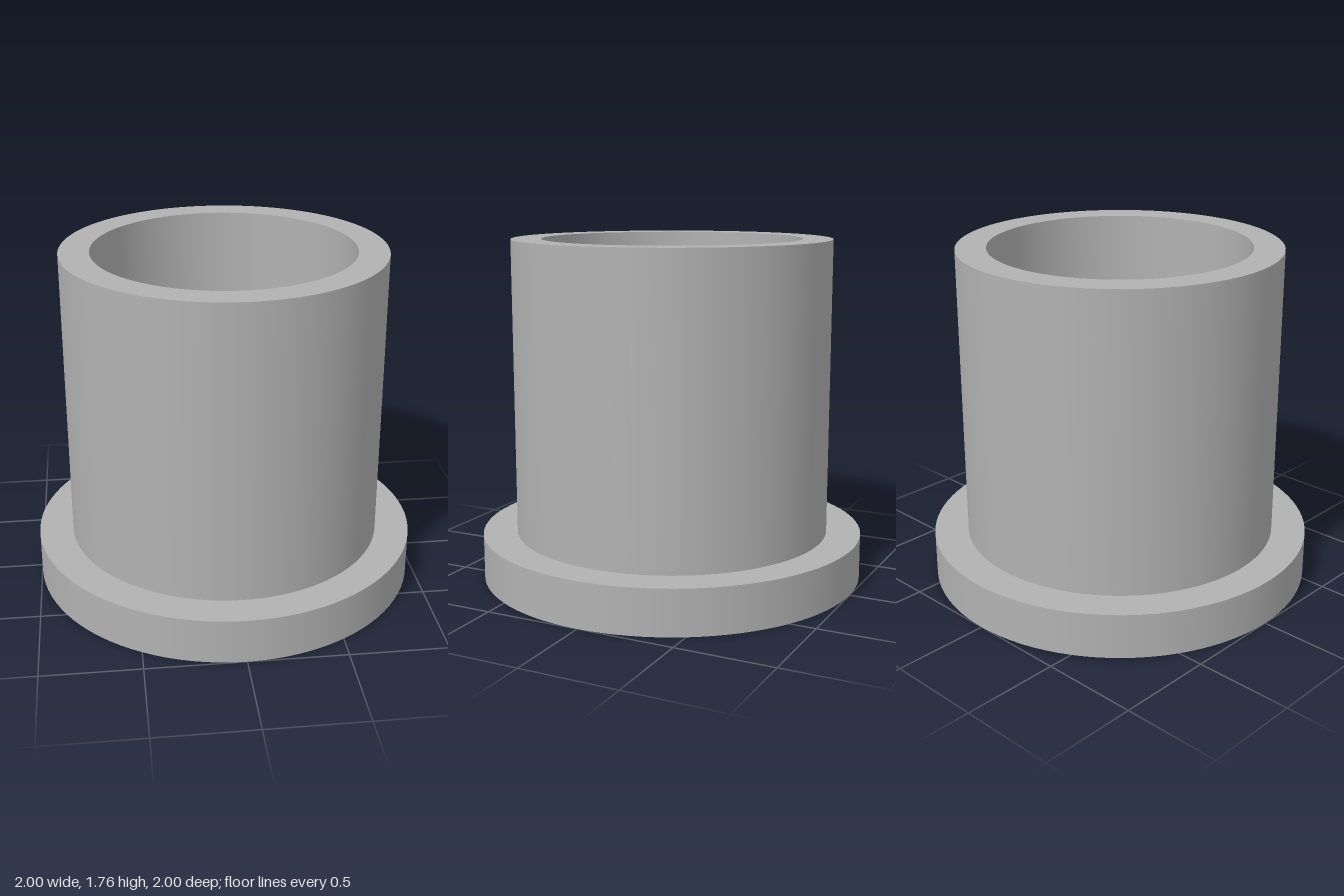
import * as THREE from 'three';

// Surface of revolution with crisp edges: one smooth band per profile segment
function band(name, r0, y0, r1, y1, material) {
  const points = [new THREE.Vector2(r0, y0), new THREE.Vector2(r1, y1)];
  const mesh = new THREE.Mesh(new THREE.LatheGeometry(points, 96), material);
  mesh.name = name;
  return mesh;
}

export function createModel() {
  const grey = new THREE.MeshStandardMaterial({ color: 0xb2b2b2 });
  grey.name = 'grey';

  const flangeR = 1, bodyR = 0.822, boreR = 0.667, holeR = 0.249;
  const flangeTop = 0.235, floorY = 0.3, top = 1.765;

  const model = new THREE.Group();
  model.name = 'flangedBushing';
  // Closed profile, running outwards underneath, up the outside and down the bore
  model.add(
    band('flangeUnderside', holeR, 0, flangeR, 0, grey),
    band('flangeRim', flangeR, 0, flangeR, flangeTop, grey),
    band('flangeShoulder', flangeR, flangeTop, bodyR, flangeTop, grey),
    band('bodyWall', bodyR, flangeTop, bodyR, top, grey),
    band('topRim', bodyR, top, boreR, top, grey),
    band('boreWall', boreR, top, boreR, floorY, grey),
    band('boreFloor', boreR, floorY, holeR, floorY, grey),
    band('throughHole', holeR, floorY, holeR, 0, grey),
  );
  return model;
}
